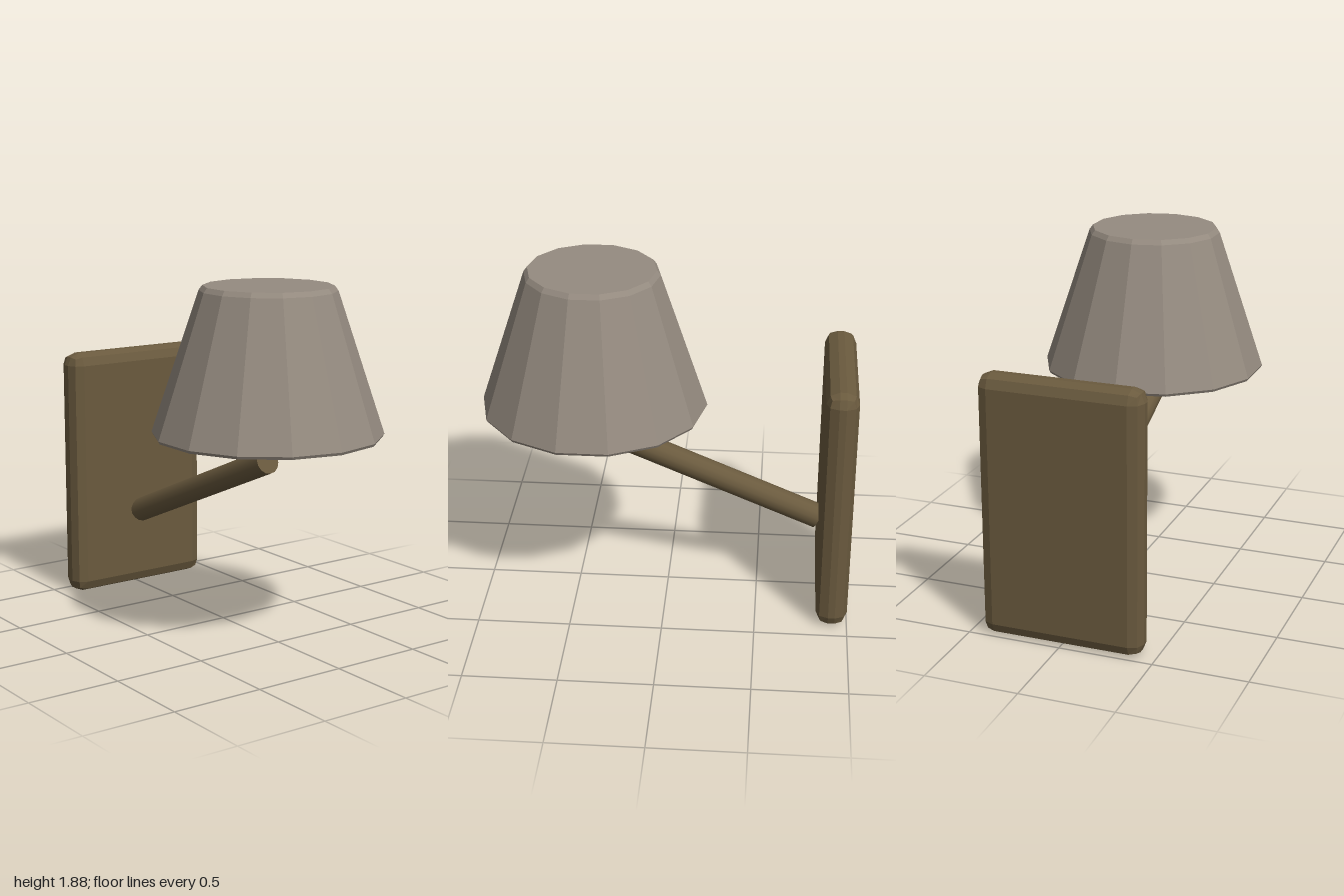
import * as THREE from 'three';
import { RoundedBoxGeometry } from 'three/addons/geometries/RoundedBoxGeometry.js';

// Give every face its own flat normal
function faceted(geometry) {
  const flat = geometry.index ? geometry.toNonIndexed() : geometry;
  flat.computeVertexNormals();
  return flat;
}

export function createModel() {
  const brass = new THREE.MeshStandardMaterial({ color: 0x6a5a3e });
  brass.name = 'dark brass';
  const fabric = new THREE.MeshStandardMaterial({ color: 0x958b80 });
  fabric.name = 'warm grey fabric';

  const lamp = new THREE.Group();
  lamp.name = 'wallLamp';
  const add = (name, geometry, material) => {
    const mesh = new THREE.Mesh(geometry, material);
    mesh.name = name;
    lamp.add(mesh);
    return mesh;
  };

  // Bevelled wall plate
  const plate = add('wallPlate', faceted(new RoundedBoxGeometry(0.87, 1.4, 0.17, 1, 0.067)), brass);
  plate.position.set(0, 0.7, -0.915);

  // Sloping arm from the plate to below the shade
  const start = new THREE.Vector3(0, 0.447, -0.827);
  const end = new THREE.Vector3(0, 0.962, 0.397);
  const direction = end.clone().sub(start);
  const arm = add('arm', new THREE.CylinderGeometry(0.068, 0.068, direction.length(), 14), brass);
  arm.position.copy(start).lerp(end, 0.5);
  arm.quaternion.setFromUnitVectors(new THREE.Vector3(0, 1, 0), direction.normalize());

  // Closed fourteen-sided shade with small bevelled rims
  const profile = [
    [0, 1.1], [0.597, 1.1], [0.605, 1.115], [0.357, 1.855], [0.338, 1.88], [0, 1.88],
  ].map(([r, y]) => new THREE.Vector2(r, y));
  const shade = add('shade', faceted(new THREE.LatheGeometry(profile, 14)), fabric);
  shade.position.z = 0.395;

  return lamp;
}
